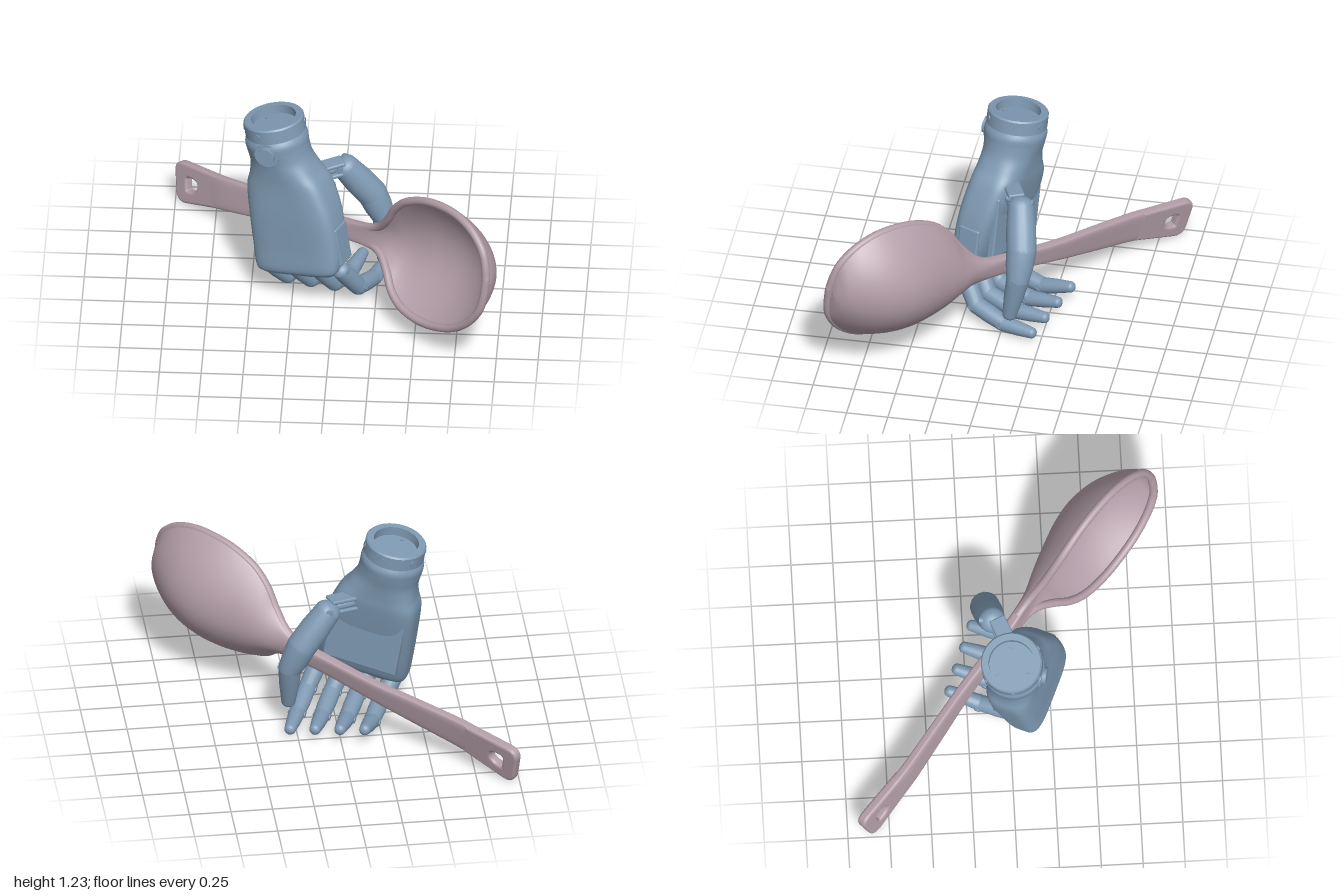
import * as THREE from 'three';
import { RoundedBoxGeometry } from 'three/addons/geometries/RoundedBoxGeometry.js';

const V = (x, y, z) => new THREE.Vector3(x, y, z);
const UP = V(0, 1, 0);
const blue = new THREE.MeshStandardMaterial({ color: 0x7f9ab3 });
const pink = new THREE.MeshStandardMaterial({ color: 0xb19ca6 });
const lerp = THREE.MathUtils.lerp;

function add(parent, name, geometry, material, position) {
  const mesh = new THREE.Mesh(geometry, material);
  mesh.name = name;
  if (position) mesh.position.copy(position);
  parent.add(mesh);
  return mesh;
}

// Skin over closed rings that run counter-clockwise about the loft direction
function loft(rings) {
  const n = rings[0].length, pos = [], idx = [];
  rings.forEach(r => r.forEach(p => pos.push(p.x, p.y, p.z)));
  for (let i = 0; i < rings.length - 1; i++) {
    for (let j = 0; j < n; j++) {
      const k = (j + 1) % n, a = i * n + j, b = i * n + k;
      idx.push(a, b, b + n, a, b + n, a + n);
    }
  }
  for (const end of [0, rings.length - 1]) {
    const ring = rings[end], c = V(0, 0, 0), base = pos.length / 3;
    ring.forEach(p => c.addScaledVector(p, 1 / n));
    ring.forEach(p => pos.push(p.x, p.y, p.z));
    pos.push(c.x, c.y, c.z);
    for (let j = 0; j < n; j++) {
      const k = (j + 1) % n;
      if (end) idx.push(base + j, base + k, base + n);
      else idx.push(base + k, base + j, base + n);
    }
  }
  const g = new THREE.BufferGeometry();
  g.setAttribute('position', new THREE.Float32BufferAttribute(pos, 3));
  g.setIndex(idx);
  g.computeVertexNormals();
  return g;
}

const spow = (x, e) => Math.sign(x) * Math.pow(Math.abs(x), e);

// Samples a table of rows smoothly; each row holds six values
function sampleRows(rows, count) {
  const curve = o => new THREE.CatmullRomCurve3(rows.map(r => V(r[o], r[o + 1], r[o + 2])), false, 'catmullrom');
  const a = curve(0), b = curve(3);
  return Array.from({ length: count + 1 }, (_, i) => [...a.getPoint(i / count), ...b.getPoint(i / count)]);
}

// Tapered limb segment with rounded ends, from p to q
function segment(parent, name, p, q, r0, r1) {
  const len = p.distanceTo(q), pts = [];
  for (let i = 0; i <= 6; i++) {
    const a = -Math.PI / 2 + i * Math.PI / 12;
    pts.push(new THREE.Vector2(r0 * Math.cos(a), r0 * Math.sin(a) * 0.8));
  }
  pts.push(new THREE.Vector2((r0 + r1) / 2 * 1.06, len / 2));
  for (let i = 0; i <= 6; i++) {
    const a = i * Math.PI / 12;
    pts.push(new THREE.Vector2(Math.max(0, r1 * Math.cos(a)), len + r1 * Math.sin(a) * 0.8));
  }
  pts[0].x = 0;
  const m = add(parent, name, new THREE.LatheGeometry(pts, 20), blue, p);
  m.quaternion.setFromUnitVectors(UP, q.clone().sub(p).normalize());
}

function disc(parent, name, centre, axis, radius, depth) {
  const m = add(parent, name, new THREE.CylinderGeometry(radius, radius, depth, 24), blue, centre);
  m.quaternion.setFromUnitVectors(UP, axis.clone().normalize());
}

function makeSpoon() {
  const spoon = new THREE.Group();
  spoon.name = 'spoon';
  // Local x runs along the spoon, y across it, z out of the hollow side
  const along = V(1.94, 0.52, 1.78).normalize();
  const across = UP.clone().addScaledVector(along, -along.y).normalize();
  spoon.applyMatrix4(new THREE.Matrix4().makeBasis(along, across, along.clone().cross(across)));
  spoon.rotateX(-0.16);
  spoon.position.set(-0.96, 0.14, -0.88);

  // Columns: distance, half width, half thickness, bowl depth, back offset, bowl factor
  const rows = [
    [0.26, 0.108, 0.031, 0, 0, 0], [0.4, 0.103, 0.031, 0, 0, 0], [0.7, 0.09, 0.03, 0, 0.025, 0],
    [1.0, 0.072, 0.03, 0, 0.05, 0], [1.3, 0.063, 0.032, 0, 0.06, 0], [1.53, 0.07, 0.034, 0.01, 0.07, 0.1],
    [1.65, 0.105, 0.032, 0.04, 0.06, 0.4], [1.75, 0.185, 0.03, 0.11, 0.025, 0.8], [1.84, 0.285, 0.027, 0.175, -0.01, 1],
    [1.95, 0.36, 0.026, 0.225, -0.03, 1], [2.1, 0.405, 0.026, 0.265, -0.035, 1], [2.25, 0.41, 0.026, 0.275, -0.035, 1],
    [2.4, 0.383, 0.026, 0.245, -0.035, 1], [2.53, 0.315, 0.026, 0.18, -0.035, 1], [2.62, 0.22, 0.026, 0.11, -0.035, 1],
    [2.655, 0.13, 0.024, 0.06, -0.035, 1], [2.668, 0.04, 0.022, 0.03, -0.035, 1],
  ];
  const n = 48;
  const rings = sampleRows(rows, 112).map(([t, w, th, depth, back, f]) =>
    Array.from({ length: n }, (_, j) => {
      const a = j / n * Math.PI * 2, q = spow(Math.cos(a), lerp(0.45, 1, f)), v = q * w;
      return V(t + 0.09 * f * v, v, -back - depth * (1 - q * q) + th * spow(Math.sin(a), lerp(0.45, 0.6, f)));
    }));
  add(spoon, 'bowlAndHandle', loft(rings), pink);

  // Rounded lip around the bowl
  const bowl = rings.slice(35);
  const upper = bowl.map(r => r[0].clone().add(V(0, -0.02, 0)));
  const lower = bowl.map(r => r[n / 2].clone().add(V(0, 0.02, 0)));
  const lip = new THREE.CatmullRomCurve3([...upper, ...lower.reverse()]);
  add(spoon, 'bowlLip', new THREE.TubeGeometry(lip, 160, 0.025, 12), pink);

  // Handle end with its hanging hole
  const s = new THREE.Shape();
  s.moveTo(0.33, -0.085).lineTo(0.05, -0.117);
  s.quadraticCurveTo(-0.012, -0.125, -0.014, -0.07).lineTo(-0.02, 0.06);
  s.quadraticCurveTo(-0.02, 0.108, 0.04, 0.104).lineTo(0.33, 0.085);
  const hole = new THREE.Path();
  hole.moveTo(0.045, 0.015).lineTo(0.045, -0.04).quadraticCurveTo(0.045, -0.07, 0.075, -0.07);
  hole.lineTo(0.105, -0.07).quadraticCurveTo(0.17, -0.055, 0.17, -0.005);
  hole.quadraticCurveTo(0.17, 0.045, 0.105, 0.05).lineTo(0.075, 0.05).quadraticCurveTo(0.045, 0.045, 0.045, 0.015);
  s.holes.push(hole);
  const end = new THREE.ExtrudeGeometry(s, {
    depth: 0.024, bevelThickness: 0.018, bevelSize: 0.018, bevelSegments: 4, curveSegments: 12,
  });
  add(spoon, 'handleEnd', end.translate(0, 0, -0.012), pink);
  return spoon;
}

function makeHand() {
  const hand = new THREE.Group();
  hand.name = 'roboticHand';
  const side = V(0.91, 0, 0.41), inner = V(0.41, 0, -0.91);

  // Palm and wrist; columns: y, centre x, centre z, half width, half depth, squareness
  const rows = [
    [0.225, -0.2, 0.18, 0.24, 0.07, 0.5], [0.27, -0.2, 0.178, 0.27, 0.105, 0.5], [0.4, -0.205, 0.148, 0.282, 0.122, 0.5],
    [0.6, -0.23, 0.105, 0.277, 0.14, 0.5], [0.78, -0.27, 0.06, 0.25, 0.15, 0.55], [0.87, -0.295, 0.045, 0.21, 0.155, 0.7],
    [0.95, -0.32, 0.033, 0.187, 0.165, 0.9], [1.02, -0.34, 0.025, 0.187, 0.182, 1], [1.075, -0.35, 0.02, 0.188, 0.188, 1],
    [1.12, -0.356, 0.016, 0.168, 0.168, 1],
  ];
  const n = 56;
  const rings = sampleRows(rows, 45).map(([y, cx, cz, w, d, e]) =>
    Array.from({ length: n }, (_, j) => {
      const a = j / n * Math.PI * 2;
      const p = V(0, 0, 0).addScaledVector(side, w * spow(Math.cos(a), e)).addScaledVector(inner, d * spow(Math.sin(a), e));
      return V(cx + p.x, y + 0.17 * p.x + 0.08 * p.z, cz + p.z);
    }));
  add(hand, 'palm', loft(rings), blue);

  // Hollow wrist collar with screws
  const wrist = new THREE.Group();
  wrist.name = 'wristCollar';
  wrist.position.set(-0.355, 1.112, 0.015);
  wrist.quaternion.setFromUnitVectors(UP, V(-0.17, 1, -0.08).normalize());
  hand.add(wrist);
  const profile = [[0.14, 0], [0.183, 0], [0.183, 0], [0.183, 0.082], [0.183, 0.082], [0.175, 0.092], [0.175, 0.092],
    [0.136, 0.092], [0.136, 0.092], [0.136, 0.035], [0.136, 0.035], [0, 0.035]].map(p => new THREE.Vector2(...p));
  add(wrist, 'collar', new THREE.LatheGeometry(profile, 48), blue);
  for (let i = 0; i < 6; i++) {
    const a = i * Math.PI / 3 + 0.5, d = V(Math.sin(a), 0, Math.cos(a));
    disc(wrist, 'collarScrew', d.clone().multiplyScalar(0.182).setY(0.045), d, 0.018, 0.012);
    if (i % 2) disc(wrist, 'floorScrew', d.clone().multiplyScalar(0.105).setY(0.037), UP, 0.011, 0.012);
  }

  // Wrist button
  const out = V(-0.25, 0.05, 1).normalize(), button = V(-0.4, 1.04, 0.19);
  disc(hand, 'buttonRim', button.clone().addScaledVector(out, -0.02), out, 0.075, 0.05);
  disc(hand, 'button', button, out, 0.052, 0.06);

  // Inner palm pad and index-side cover
  const frame = new THREE.Matrix4().makeBasis(side, UP, side.clone().cross(UP));
  const panel = (name, w, h, d, p) => {
    const m = add(hand, name, new RoundedBoxGeometry(w, h, d, 3, 0.012), blue, p);
    m.quaternion.setFromRotationMatrix(frame);
    m.rotateZ(0.17);
  };
  panel('palmPad', 0.46, 0.4, 0.05, V(-0.18, 0.55, 0));
  panel('indexSideCover', 0.03, 0.25, 0.14, V(0.05, 0.46, 0.235));

  // Four curled fingers, from little finger to index
  for (let i = 0; i < 4; i++) {
    const f = i / 3;
    const k = V(lerp(-0.385, 0.045, f), lerp(0.225, 0.285, f), lerp(0.11, 0.265, f));
    const joints = [
      k,
      V(k.x + 0.1, lerp(0.09, 0.112, f), k.z - lerp(0.075, 0.095, f)),
      V(k.x + 0.185, lerp(0.06, 0.056, f), k.z - 0.28),
      V(k.x + 0.25, lerp(0.115, 0.055, f), k.z - 0.462),
    ];
    const finger = new THREE.Group();
    finger.name = ['littleFinger', 'ringFinger', 'middleFinger', 'indexFinger'][i];
    hand.add(finger);
    const radii = [0.054, 0.053, 0.049, 0.034];
    for (let j = 0; j < 3; j++) {
      segment(finger, 'fingerSegment', joints[j], joints[j + 1], radii[j], radii[j + 1]);
      disc(finger, 'fingerPin', joints[j], V(0.88, 0.17, 0.41), 0.018, 2 * radii[j] + 0.008);
    }
  }

  // Thumb on its bracket
  const thumb = new THREE.Group();
  thumb.name = 'thumb';
  hand.add(thumb);
  for (const y of [0.775, 0.845]) {
    const plate = add(thumb, 'thumbBracketPlate', new RoundedBoxGeometry(0.2, 0.025, 0.1, 2, 0.01), blue, V(-0.05, y, -0.02));
    plate.rotation.set(0, 0.4, 0.1);
  }
  segment(thumb, 'thumbDrive', V(-0.14, 0.8, 0.01), V(0.03, 0.81, -0.06), 0.03, 0.03);
  const path = [V(0.055, 0.795, -0.085), V(0.215, 0.585, -0.118), V(0.285, 0.43, -0.11), V(0.288, 0.17, -0.06)];
  const radii = [0.08, 0.09, 0.07, 0.043];
  for (let j = 0; j < 3; j++) segment(thumb, 'thumbSegment', path[j], path[j + 1], radii[j], radii[j + 1]);
  disc(thumb, 'thumbPin', V(0.035, 0.82, -0.08), V(-0.2, 0, 1), 0.022, 0.165);
  disc(thumb, 'thumbPin', path[2], V(0.9, 0.1, 0.4), 0.02, 0.144);
  return hand;
}

export function createModel() {
  const model = new THREE.Group();
  model.name = 'handHoldingSpoon';
  model.add(makeSpoon(), makeHand());
  return model;
}
